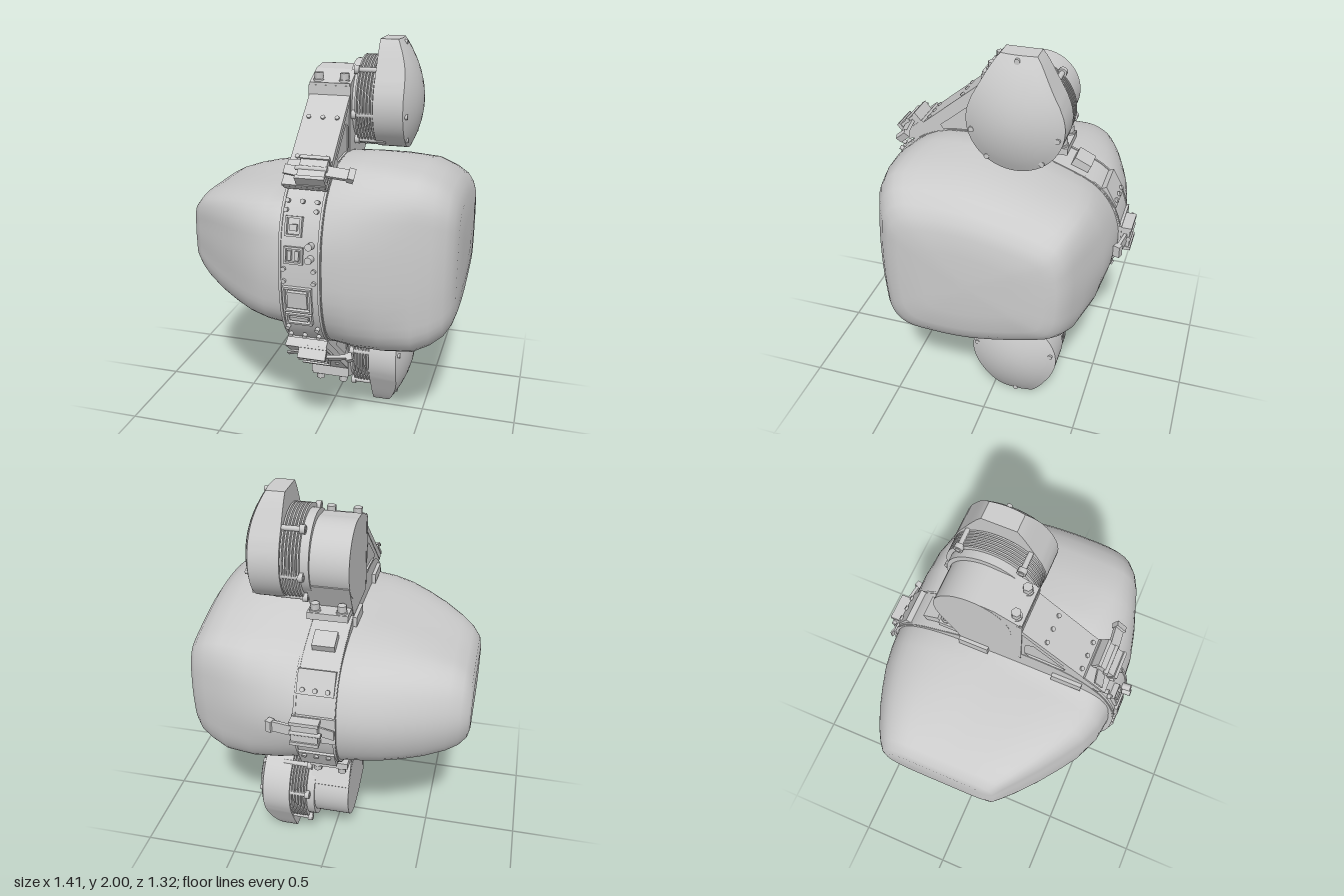
import * as THREE from 'three';
import { toCreasedNormals } from 'three/addons/utils/BufferGeometryUtils.js';

const grey = new THREE.MeshStandardMaterial({ color: 0xcccccc });

function add(parent, name, geometry, x = 0, y = 0, z = 0, rx = 0, ry = 0, rz = 0) {
  const m = new THREE.Mesh(geometry, grey);
  m.name = name;
  m.position.set(x, y, z);
  m.rotation.set(rx, ry, rz);
  parent.add(m);
  return m;
}
const box = (w, h, d) => new THREE.BoxGeometry(w, h, d);
const rod = (r, len, n = 24) => new THREE.CylinderGeometry(r, r, len, n);
const rodX = (r, len, n = 40) => rod(r, len, n).rotateZ(Math.PI / 2);

// Closed skin through rings of [x, y, z], ordered along +x
function loft(rings, crease = 0.5) {
  const n = rings[0].length, pos = rings.flat(2), idx = [];
  for (let i = 0; i < rings.length - 1; i++) for (let j = 0; j < n; j++) {
    const k = (j + 1) % n, a = i * n + j, b = i * n + k;
    idx.push(a, a + n, b + n, a, b + n, b);
  }
  for (const end of [0, rings.length - 1]) {
    const c = pos.length / 3, mid = [0, 0, 0];
    rings[end].forEach(p => p.forEach((v, q) => { mid[q] += v / n; }));
    pos.push(...mid);
    for (let j = 0; j < n; j++) {
      const a = end * n + j, b = end * n + (j + 1) % n;
      idx.push(c, ...(end ? [b, a] : [a, b]));
    }
  }
  const g = new THREE.BufferGeometry();
  g.setAttribute('position', new THREE.Float32BufferAttribute(pos, 3));
  g.setIndex(idx);
  return toCreasedNormals(g, crease);
}

// Side outline given as [z, y] points, extruded from x0 to x1
function prism(points, x0, x1, hole) {
  const v = p => p.map(([z, y]) => new THREE.Vector2(-z, y));
  const s = new THREE.Shape(v(points));
  if (hole) s.holes.push(new THREE.Path(v(hole)));
  return new THREE.ExtrudeGeometry(s, { depth: x1 - x0, bevelEnabled: false })
    .rotateY(Math.PI / 2).translate(x0, 0, 0);
}

// Half outlines (front to back): flat-topped right, egg middle, tapered box left
const flatTop = [[1, 0], [0.985, 0.37], [0.945, 0.67], [0.83, 0.89], [0.6, 0.98], [0.3, 1], [0, 1],
  [-0.35, 0.98], [-0.63, 0.89], [-0.83, 0.71], [-0.95, 0.4], [-1, 0]];
const egg = [[1, 0], [0.97, 0.4], [0.83, 0.74], [0.58, 0.95], [0.3, 1], [0.08, 0.985], [-0.2, 0.9],
  [-0.5, 0.76], [-0.75, 0.62], [-0.88, 0.46], [-0.965, 0.25], [-1, 0]];
const taper = [[1, 0], [0.985, 0.47], [0.945, 0.77], [0.8, 0.95], [0.47, 1], [0.1, 0.99], [-0.25, 0.92],
  [-0.6, 0.81], [-0.87, 0.69], [-0.96, 0.5], [-0.99, 0.25], [-1, 0]];

// Smooth section [x, front z, back z, half height]; the outline changes along x
function section([x, zf, zb, h], useEgg) {
  const leftWeight = x > -0.1 ? -x / 0.1 : Math.min(1.3, 1 - (x + 0.1) * 0.6);
  const w = useEgg ? 0 : x < 0 ? leftWeight : THREE.MathUtils.clamp((x - 0.1) / 0.4, 0, 1);
  const target = x < 0 ? flatTop : taper;
  const top = egg.map(([u, v], i) => [u + (target[i][0] - u) * w, Math.min(1, v + (target[i][1] - v) * w)]);
  const loop = [...top, ...top.slice(1, -1).reverse().map(([u, v]) => [u, -v])];
  return new THREE.CatmullRomCurve3(loop.map(([u, v]) => new THREE.Vector3(0, v, u)), true)
    .getPoints(66).slice(0, -1)
    .map(p => [x, p.y * h, (zf + zb) / 2 + p.z * (zf - zb) / 2]);
}

// Copies a part group to the other side of the horizontal mid-plane
function mirrorY(group) {
  group.updateMatrixWorld(true);
  const out = new THREE.Group();
  out.name = group.name + 'Lower';
  group.traverse(m => {
    if (!m.isMesh) return;
    let g = m.geometry.clone().applyMatrix4(m.matrixWorld).scale(1, -1, 1);
    if (g.index) g = g.toNonIndexed();
    for (const key of ['position', 'normal']) {
      const a = g.attributes[key];
      for (let i = 0; i < a.count; i += 3) for (let c = 0; c < 3; c++) {
        const t = a.getComponent(i + 1, c);
        a.setComponent(i + 1, c, a.getComponent(i + 2, c));
        a.setComponent(i + 2, c, t);
      }
    }
    add(out, m.name, g);
  });
  return out;
}

// Over-centre latch facing local +z
function latch(y, z, rx) {
  const g = new THREE.Group();
  g.name = 'latch';
  add(g, 'latchPlate', box(0.21, 0.14, 0.014));
  add(g, 'latchBody', box(0.13, 0.1, 0.05), 0.035, 0, 0.025);
  for (const s of [-1, 1]) add(g, 'latchRail', box(0.14, 0.018, 0.06), 0.035, s * 0.056, 0.028);
  add(g, 'latchPin', rodX(0.012, 0.15, 12), 0.03, 0, 0.045);
  add(g, 'latchLever', box(0.12, 0.055, 0.016), 0.155, 0, 0.02, 0, 0.15);
  add(g, 'leverTip', box(0.03, 0.06, 0.035), 0.21, 0, 0.012, 0, 0.35);
  add(g, 'latchTab', box(0.08, 0.05, 0.008), -0.065, 0, 0.02, 0, 0.25);
  g.position.set(0, y, z);
  g.rotation.x = rx;
  return g;
}

// Motor housing, fins, domed cap and the arm that carries them
function motorUnit() {
  const g = new THREE.Group();
  g.name = 'motorUnit';
  const cy = 0.688, cz = -0.13;
  add(g, 'motorHousing', rodX(0.19, 0.21, 56), 0, 0.673, cz);
  add(g, 'housingBlock', prism([[-0.12, 0.862], [-0.02, 0.852], [0.1, 0.8], [0.1, 0.4], [-0.2, 0.4], [-0.305, 0.59]], -0.104, 0.104));
  add(g, 'mountPlate', box(0.21, 0.36, 0.025), 0, 0.61, 0.1);
  add(g, 'mountLug', box(0.2, 0.035, 0.12), 0, 0.785, 0.05);
  add(g, 'rearLug', box(0.2, 0.035, 0.12), 0, 0.44, -0.255);
  for (const x of [-0.065, 0.065]) for (const [y, z] of [[0.823, 0.068], [0.475, -0.285]]) {
    add(g, 'boltWasher', rod(0.028, 0.012), x, y - 0.015, z);
    add(g, 'boltHead', rod(0.023, 0.045, 6), x, y, z);
  }
  add(g, 'finCore', rodX(0.205, 0.14), 0.15, cy, cz);
  for (let i = 0; i < 6; i++) add(g, 'coolingFin', rodX(0.226, 0.008, 56), 0.125 + i * 0.016, cy, cz);

  // Domed cap: circle with a tapered lobe on the outer side
  const n = 72, R = 0.23, ring = [];
  const lobe = [[0.21, 0.1], [0.13, 0.245], [0.088, 0.312], [-0.088, 0.312], [-0.13, 0.245], [-0.21, 0.1]];
  for (let j = 0; j < n; j++) {
    const a = (j / n) * Math.PI * 2, c = Math.cos(a), s = Math.sin(a);
    let r = R;
    for (let k = 0; k < lobe.length - 1; k++) {
      const [z0, y0] = lobe[k], [z1, y1] = lobe[k + 1];
      const den = c * (y1 - y0) - s * (z1 - z0);
      const t = (z0 * (y1 - y0) - y0 * (z1 - z0)) / den;
      const q = (c * y0 - s * z0) / (s * (z1 - z0) - c * (y1 - y0));
      if (t > 0 && q >= -0.001 && q <= 1.001) r = Math.max(r, t);
    }
    ring.push([c * r, s * r, r]);
  }
  const capRing = (k, x) => ring.map(([z, y, r]) =>
    [x ?? 0.42 - 1.13 * (r * k) ** 2, cy + y * k, cz + z * k]);
  add(g, 'motorCap', loft([capRing(1, 0.212), ...[1, 0.85, 0.7, 0.5, 0.3, 0.12].map(k => capRing(k))], 0.4));

  // Through bolts around the fins and screws on the dome
  for (const [z, y] of [[0.21, -0.04], [-0.21, -0.04], [0.13, -0.18], [-0.13, -0.18], [0.15, 0.17], [-0.15, 0.17]]) {
    add(g, 'throughBolt', rodX(0.013, 0.16, 12), 0.18, cy + y, cz + z);
    add(g, 'boltBoss', rodX(0.022, 0.025, 12), 0.115, cy + y, cz + z);
  }
  for (const [z, y, x] of [[0.2, -0.04, 0.37], [-0.2, -0.04, 0.37], [0, 0.29, 0.322], [0.13, -0.17, 0.365], [-0.13, -0.17, 0.365]])
    add(g, 'capScrew', rodX(0.013, 0.02, 12), x, cy + y, cz + z);

  // Sloping strap with webs beneath it
  add(g, 'strap', prism([[0.53, 0.4], [0.1, 0.755], [0.1, 0.72], [0.5, 0.38]], -0.102, 0.102));
  const tri = [[0.5, 0.39], [0.1, 0.73], [0.1, 0.38]];
  add(g, 'armCore', prism(tri, -0.09, 0.09));
  for (const x of [-0.1, 0.085])
    add(g, 'armWeb', prism(tri, x, x + 0.015, [[0.33, 0.49], [0.17, 0.62], [0.13, 0.6], [0.13, 0.5], [0.16, 0.47], [0.32, 0.47]]));
  const slope = Math.atan2(0.43, 0.355);
  for (const t of [0.3, 0.72]) for (const x of [-0.07, 0, 0.07])
    add(g, 'strapScrew', rod(0.011, 0.016, 12), x, 0.4 + 0.355 * t, 0.53 - 0.43 * t, Math.PI / 2 - slope);
  for (const z of [0.35, -0.13]) add(g, 'sideBoss', box(0.035, 0.05, 0.15), -0.103, 0.37, z);
  g.add(latch(0.45, 0.48, -0.88));
  return g;
}

export function createModel() {
  const root = new THREE.Group();
  const model = new THREE.Group();
  model.name = 'pod';
  model.position.y = 1;

  // Main shell: [x, front z, back z, half height]
  add(model, 'shell', loft([
    [-0.709, 0.18, -0.365, 0.115], [-0.698, 0.22, -0.39, 0.162], [-0.66, 0.255, -0.42, 0.208], [-0.6, 0.31, -0.455, 0.24],
    [-0.5, 0.395, -0.5, 0.276], [-0.4, 0.47, -0.535, 0.302], [-0.3, 0.54, -0.565, 0.321], [-0.2, 0.585, -0.583, 0.335],
    [-0.1, 0.6, -0.592, 0.348], [0, 0.605, -0.595, 0.42], [0.1, 0.603, -0.595, 0.472], [0.22, 0.596, -0.59, 0.474],
    [0.35, 0.565, -0.57, 0.468], [0.5, 0.51, -0.515, 0.45], [0.58, 0.475, -0.482, 0.415], [0.64, 0.435, -0.453, 0.37],
    [0.67, 0.395, -0.42, 0.325], [0.688, 0.34, -0.37, 0.275], [0.698, 0.22, -0.23, 0.17], [0.704, 0.06, -0.06, 0.05],
  ].map(s => section(s)), 0.7));

  // Centre band wrapped around the shell
  const bandLoop = (x0, x1, zf, zb, h) => loft([x0, x1].map(x => section([x, zf, zb, h], true)));
  add(model, 'centreBand', bandLoop(-0.102, 0.102, 0.616, -0.602, 0.472));
  for (const x of [-0.1, 0.088]) add(model, 'bandRim', bandLoop(x, x + 0.012, 0.622, -0.606, 0.476));

  // Front controls follow the curve of the band
  const onBand = (name, geo, x, y, lift = 0) => {
    const tilt = Math.atan(1.2 * y);
    add(model, name, geo, x, y + lift * Math.sin(tilt), 0.617 - 0.6 * y * y + lift * Math.cos(tilt), -tilt);
  };
  const frame = (name, w, h, x, y) => {
    for (const s of [-1, 1]) {
      onBand(name, box(0.01, h, 0.03), x + s * w / 2, y, 0.004);
      onBand(name, box(w + 0.01, 0.01, 0.03), x, y + s * h / 2, 0.004);
    }
  };
  frame('networkPort', 0.07, 0.08, -0.03, 0.23);
  onBand('portTongue', box(0.035, 0.03, 0.025), -0.03, 0.225, 0.004);
  frame('dataPorts', 0.08, 0.07, -0.025, 0.1);
  for (const x of [-0.043, -0.007]) onBand('portTongue', box(0.018, 0.045, 0.03), x, 0.1, 0.004);
  frame('displayFrame', 0.13, 0.12, -0.01, -0.12);
  onBand('rockerSwitch', box(0.095, 0.085, 0.028), -0.01, -0.12, 0.004);
  frame('powerSocket', 0.12, 0.05, -0.01, -0.225);
  onBand('socketInsert', box(0.09, 0.02, 0.025), -0.01, -0.225, 0.004);
  for (const y of [0.09, 0.15]) onBand('button', rod(0.017, 0.06, 16).rotateX(Math.PI / 2), 0.055, y, 0.015);
  for (const y of [0.34, -0.34]) for (const x of [-0.07, 0, 0.07])
    onBand('bandScrew', rod(0.011, 0.02, 10).rotateX(Math.PI / 2), x, y);
  for (const y of [0.3, 0.03, -0.03, -0.29]) for (const x of [-0.075, 0.07])
    onBand('panelScrew', rod(0.011, 0.02, 10).rotateX(Math.PI / 2), x, y, 0.003);

  // Upper and lower motor units, with matching rear band fittings
  const unit = motorUnit();
  add(unit, 'rearBracket', box(0.11, 0.07, 0.09), -0.005, 0.338, -0.37, -0.45);
  add(unit, 'rearBandPad', box(0.18, 0.12, 0.03), 0, 0.215, -0.53, 0.5);
  for (const x of [-0.06, 0, 0.06])
    add(unit, 'rearScrew', rod(0.012, 0.02, 10), x, 0.19, -0.562, Math.PI / 2 + 0.5);
  model.add(unit, mirrorY(unit));
  model.add(latch(0, -0.6, Math.PI));

  root.add(model);
  return root;
}
